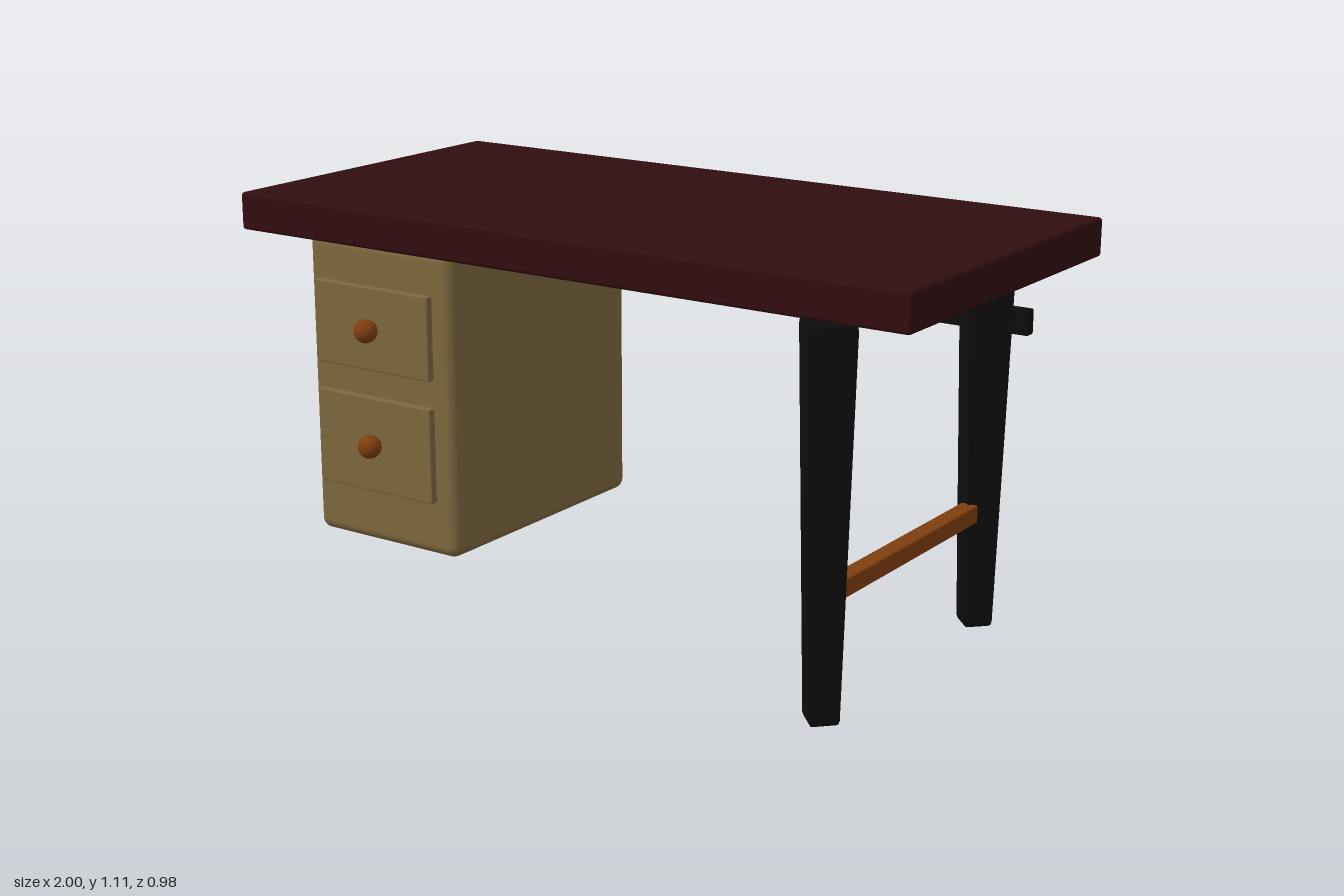
import * as THREE from 'three';
import { RoundedBoxGeometry } from 'three/addons/geometries/RoundedBoxGeometry.js';

function material(name, color) {
  const m = new THREE.MeshStandardMaterial({ color });
  m.name = name;
  return m;
}

export function createModel() {
  const desk = new THREE.Group();
  desk.name = 'desk';

  const mahogany = material('dark mahogany', 0x310d0f);
  const tan = material('tan', 0x7d673e);
  const black = material('black', 0x0c0c0c);
  const orangeWood = material('orange brown wood', 0x7e3e0f);

  const add = (name, geometry, mat) => {
    const mesh = new THREE.Mesh(geometry, mat);
    mesh.name = name;
    desk.add(mesh);
    return mesh;
  };

  // Rounded box given by its extents on each axis
  const block = (name, [x0, x1], [y0, y1], [z0, z1], radius, mat) => {
    const geometry = new RoundedBoxGeometry(x1 - x0, y1 - y0, z1 - z0, 3, radius);
    const mesh = add(name, geometry, mat);
    mesh.position.set((x0 + x1) / 2, (y0 + y1) / 2, (z0 + z1) / 2);
    return mesh;
  };

  // Tabletop
  block('tabletop', [-1, 1], [1.005, 1.105], [-0.492, 0.492], 0.01, mahogany);

  // Drawer cabinet with two floating fronts and round knobs
  block('cabinet', [-0.943, -0.452], [0.135, 0.973], [-0.477, 0.305], 0.03, tan);
  const drawers = [
    { name: 'upper', y: [0.63, 0.857], knobY: 0.744 },
    { name: 'lower', y: [0.293, 0.554], knobY: 0.425 },
  ];
  for (const { name, y, knobY } of drawers) {
    block(`${name} drawer front`, [-0.894, -0.504], y, [0.315, 0.338], 0.004, tan);
    const knob = add(`${name} drawer knob`, new THREE.SphereGeometry(0.032, 24, 16), orangeWood);
    knob.position.set(-0.699, knobY, 0.358);
  }

  // Tapered four-sided legs, turned so their corners lie on the axes
  const profile = [
    [0, 0], [0.04, 0], [0.048, 0.004], [0.052, 0.014],
    [0.079, 0.968], [0.077, 0.98], [0.068, 0.987], [0, 0.987],
  ].map(([r, y]) => new THREE.Vector2(r, y));
  const legGeometry = new THREE.LatheGeometry(profile, 4).toNonIndexed();
  legGeometry.computeVertexNormals();
  for (const [name, z] of [['front leg', 0.394], ['back leg', -0.391]]) {
    add(name, legGeometry, black).position.set(0.737, 0, z);
  }

  // Stretcher between the legs
  block('leg stretcher', [0.713, 0.761], [0.297, 0.345], [-0.343, 0.346], 0.005, orangeWood);

  // Back rail running from the cabinet through the back leg
  block('back rail', [-0.47, 0.852], [0.796, 0.863], [-0.431, -0.399], 0.004, black);

  return desk;
}
